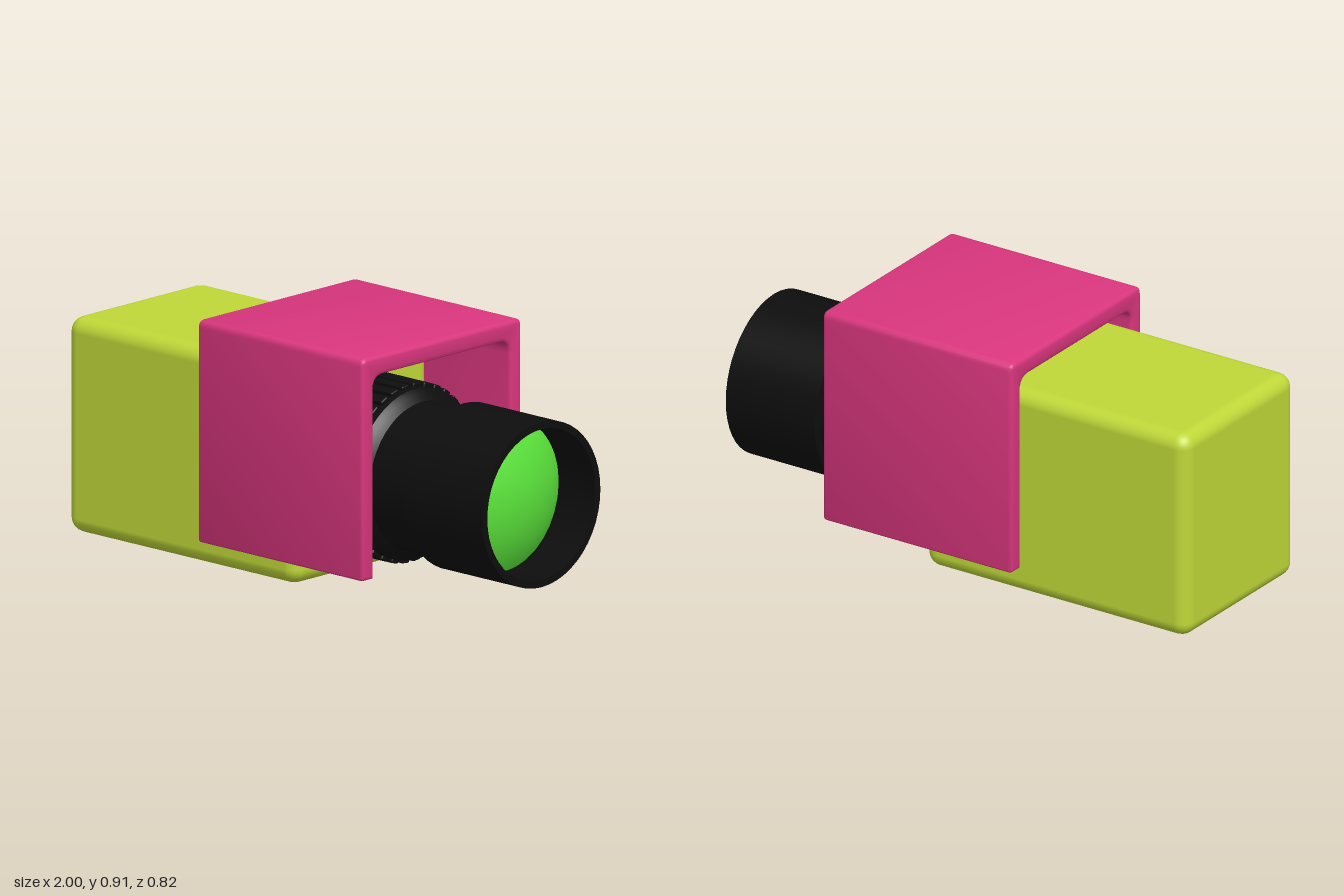
import * as THREE from 'three';
import { toCreasedNormals } from 'three/addons/utils/BufferGeometryUtils.js';
import { RoundedBoxGeometry } from 'three/addons/geometries/RoundedBoxGeometry.js';

const AXIS_Y = 0.397;
const material = (color, side = THREE.FrontSide) => new THREE.MeshStandardMaterial({ color, side });

function addMesh(parent, name, geometry, mat) {
  const mesh = new THREE.Mesh(geometry, mat);
  mesh.name = name;
  parent.add(mesh);
  return mesh;
}

// Revolve [x, radius] points around the lens axis, which runs along +x
function turned(points, segments = 48, crease = 0.5) {
  const profile = points.map(([x, r]) => new THREE.Vector2(r, x));
  const geometry = new THREE.LatheGeometry(profile, segments);
  geometry.rotateZ(-Math.PI / 2);
  return toCreasedNormals(geometry, crease);
}

// Inverted U plate, extruded along x
function hoodGeometry() {
  const out = 0.408, inn = 0.348, bottom = 0.102, top = 0.915, ceiling = 0.843;
  const r = 0.028, ri = 0.05, bevel = 0.015;
  const s = new THREE.Shape();
  s.moveTo(-out + r / 2, bottom);
  s.lineTo(-inn, bottom);
  s.lineTo(-inn, ceiling - ri);
  s.quadraticCurveTo(-inn, ceiling, -inn + ri, ceiling);
  s.lineTo(inn - ri, ceiling);
  s.quadraticCurveTo(inn, ceiling, inn, ceiling - ri);
  s.lineTo(inn, bottom);
  s.lineTo(out - r / 2, bottom);
  s.quadraticCurveTo(out, bottom, out, bottom + r / 2);
  s.lineTo(out, top - r);
  s.quadraticCurveTo(out, top, out - r, top);
  s.lineTo(-out + r, top);
  s.quadraticCurveTo(-out, top, -out, top - r);
  s.lineTo(-out, bottom + r / 2);
  s.quadraticCurveTo(-out, bottom, -out + r / 2, bottom);
  const g = new THREE.ExtrudeGeometry(s, {
    depth: 0.81 - 2 * bevel, curveSegments: 5, bevelEnabled: true,
    bevelThickness: bevel, bevelSize: bevel, bevelOffset: -bevel, bevelSegments: 3,
  });
  g.rotateY(Math.PI / 2);
  g.translate(-0.295 + bevel, 0, 0);
  return toCreasedNormals(g, 0.6);
}

export function createModel() {
  const model = new THREE.Group();
  model.name = 'boxCamera';
  const black = material(0x0d0d0d, THREE.DoubleSide);

  // Camera body
  const body = addMesh(model, 'body', new RoundedBoxGeometry(1.125, 0.788, 0.692, 3, 0.055), material(0xbfd838));
  body.position.set(-0.4375, 0.395, 0);

  // Sun shield straddling the body
  addMesh(model, 'sunShield', hoodGeometry(), material(0xda367e));

  // Lens assembly
  const lens = new THREE.Group();
  lens.name = 'lens';
  lens.position.y = AXIS_Y;
  model.add(lens);

  // Barrel: focus ring base, neck and open hood with inner wall
  addMesh(lens, 'barrel', turned([
    [0.1, 0], [0.1, 0.29], [0.13, 0.312], [0.385, 0.312], [0.4, 0.3], [0.42, 0.272],
    [0.615, 0.272], [0.62, 0.302], [1, 0.302], [1, 0.276], [0.8, 0.276],
  ]), black);

  // Grip ridges around the focus ring
  const ridges = new THREE.Group();
  ridges.name = 'gripRidges';
  lens.add(ridges);
  const ridgeCount = 36;
  const ridgeGeometry = new RoundedBoxGeometry(0.22, 0.04, 0.036, 2, 0.006);
  for (let i = 0; i < ridgeCount; i++) {
    const a = ((i + 0.5) / ridgeCount) * Math.PI * 2;
    const ridge = addMesh(ridges, 'gripRidge', ridgeGeometry, black);
    ridge.position.set(0.255, Math.cos(a) * 0.306, Math.sin(a) * 0.306);
    ridge.rotation.x = a;
  }

  // Convex front glass, recessed in the hood
  const R = 0.48, rim = 0.277, steps = 8;
  const maxAngle = Math.asin(rim / R);
  const dome = [];
  for (let i = 0; i <= steps; i++) {
    const a = maxAngle * (1 - i / steps);
    dome.push([0.82 + R * (Math.cos(a) - Math.cos(maxAngle)), R * Math.sin(a)]);
  }
  addMesh(lens, 'glass', turned(dome, 32), material(0x5ce63c, THREE.DoubleSide));

  return model;
}
